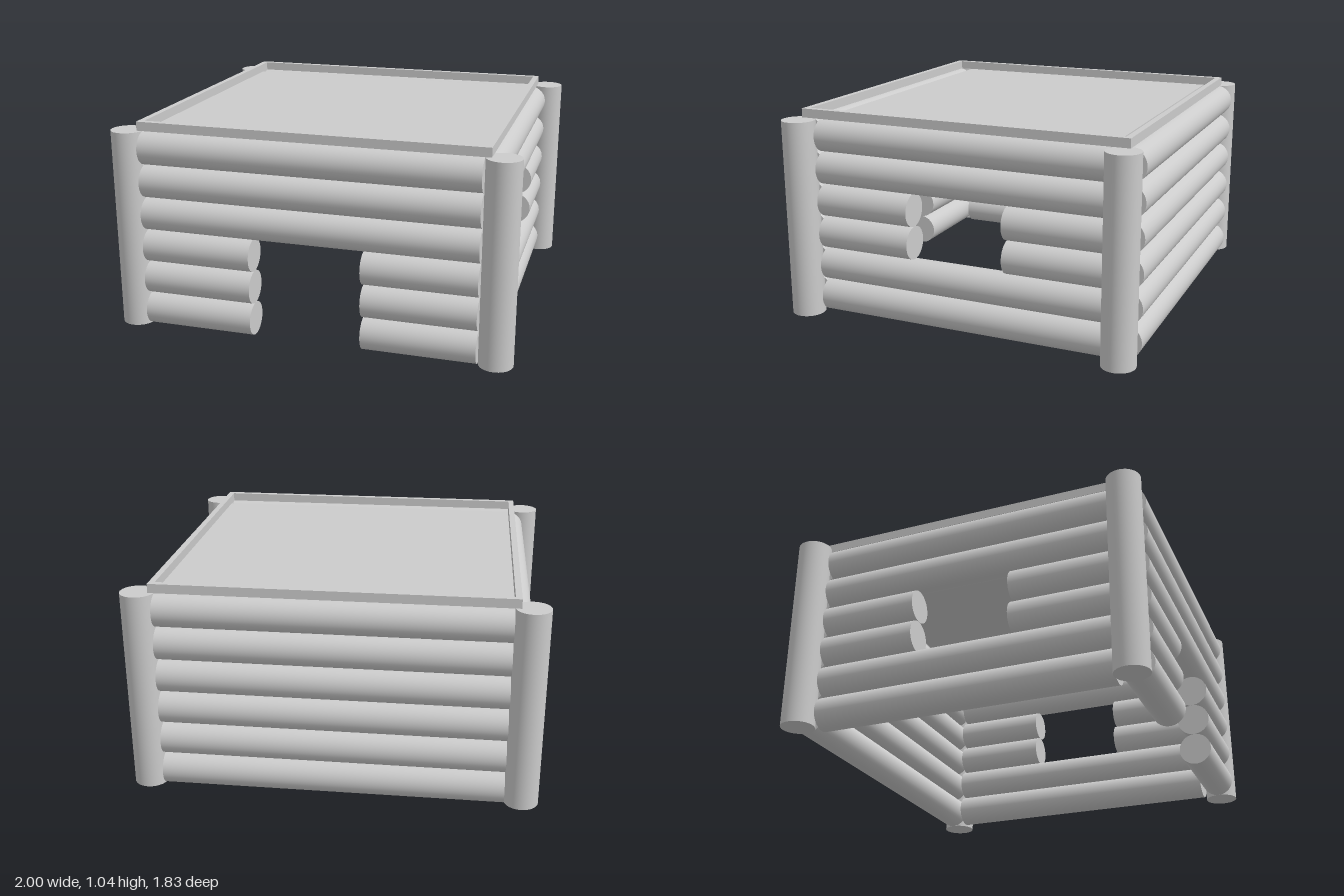
import * as THREE from 'three';

const R = 1 / 12; // log radius; six stacked logs make a wall one unit high
const ROWS = 6;
const WALL = 10 * R; // distance of the wall axes from the centre
const HALF_X = 10 * R; // half length of front and back logs
const HALF_Z = 9 * R; // half length of side logs

export function createModel() {
  const model = new THREE.Group();
  const material = new THREE.MeshStandardMaterial({ color: 0xcccccc });

  const add = (parent, name, geometry, x, y, z) => {
    const mesh = new THREE.Mesh(geometry, material);
    mesh.name = name;
    mesh.position.set(x, y, z);
    parent.add(mesh);
    return mesh;
  };

  // A wall of stacked logs along local x; the listed rows have a central gap
  const addWall = (name, half, gapRows) => {
    const wall = new THREE.Group();
    wall.name = name;
    const gap = half / 3;
    for (let row = 0; row < ROWS; row++) {
      const spans = gapRows.includes(row) ? [[-half, -gap], [gap, half]] : [[-half, half]];
      for (const [a, b] of spans) {
        const log = new THREE.CylinderGeometry(R, R, b - a, 40).rotateZ(Math.PI / 2);
        add(wall, 'log', log, (a + b) / 2, R * (2 * row + 1), 0);
      }
    }
    model.add(wall);
    return wall;
  };

  // Front wall with doorway, solid back wall
  addWall('frontWall', HALF_X, [0, 1, 2]).position.z = WALL;
  addWall('backWall', HALF_X, []).position.z = -WALL;

  // Side walls with window openings
  for (const [name, side] of [['leftWall', 1], ['rightWall', -1]]) {
    const wall = addWall(name, HALF_Z, [2, 3]);
    wall.rotation.y = side * Math.PI / 2;
    wall.position.x = side * WALL;
  }

  // Corner posts
  for (const sx of [-1, 1]) {
    for (const sz of [-1, 1]) {
      add(model, 'cornerPost', new THREE.CylinderGeometry(R, R, 1, 40), sx * 11 * R, 0.5, sz * WALL);
    }
  }

  // Flat roof panel between the front and back walls
  add(model, 'roofPanel', new THREE.BoxGeometry(2 * HALF_X, 0.04, 2 * HALF_Z), 0, 0.98, 0);

  // Raised rim around the roof
  const rect = (Kind, hx, hz) => new Kind([
    new THREE.Vector2(-hx, -hz), new THREE.Vector2(hx, -hz),
    new THREE.Vector2(hx, hz), new THREE.Vector2(-hx, hz),
  ]);
  const rimShape = rect(THREE.Shape, 0.863, 0.848);
  rimShape.holes.push(rect(THREE.Path, 0.833, 0.818));
  const rim = new THREE.ExtrudeGeometry(rimShape, { depth: 0.045, bevelEnabled: false });
  add(model, 'roofRim', rim.rotateX(-Math.PI / 2), 0, 1, 0);

  return model;
}
